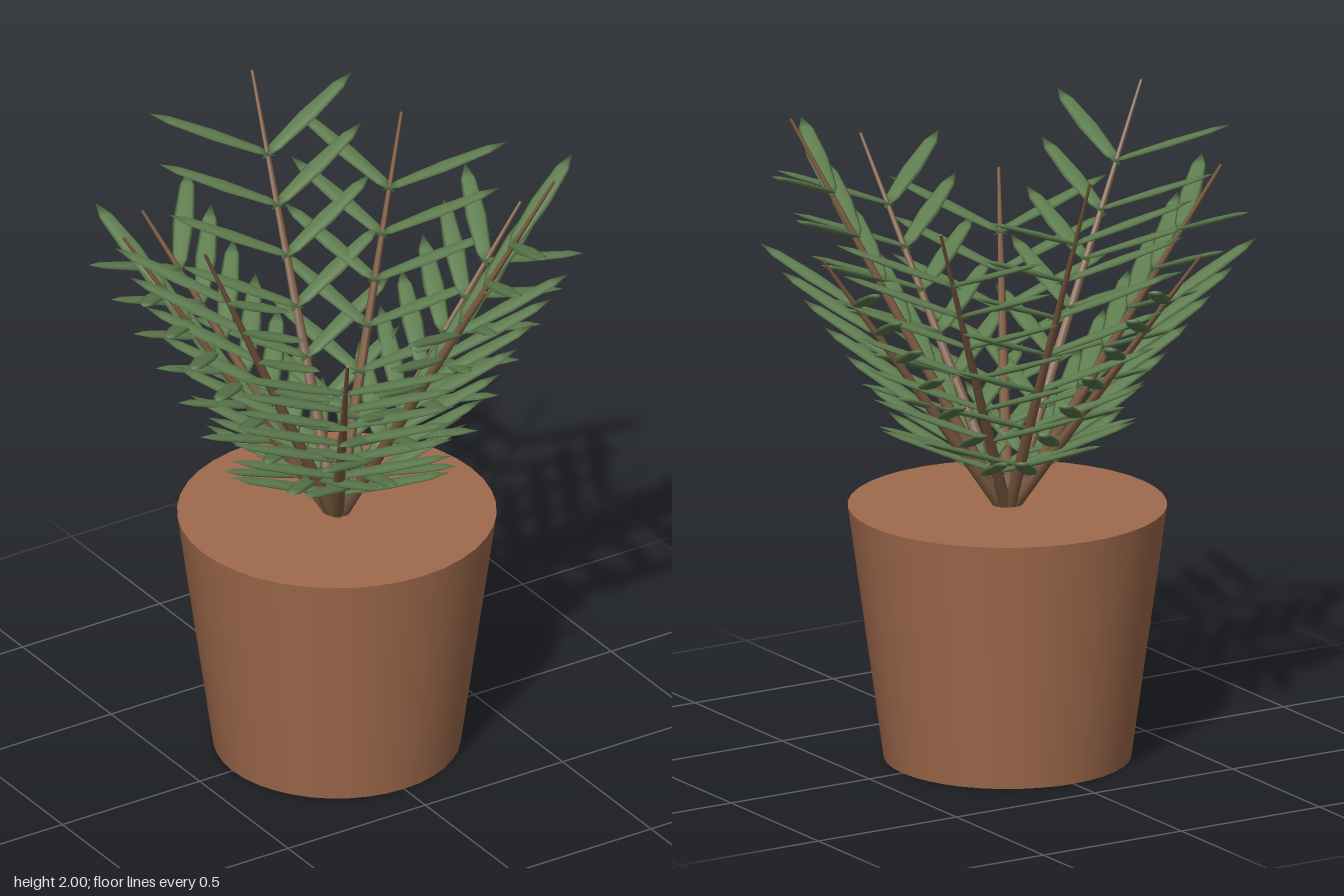
import * as THREE from 'three';

const POT_HEIGHT = 0.8;
const FRONDS = 9;
const PAIRS = 7;
const REACH = 0.67;               // horizontal reach of every stem
const RISES = [0.88, 1.2, 1.04];  // stem heights repeat in threes

function material(name, color) {
  const m = new THREE.MeshStandardMaterial({ color });
  m.name = name;
  return m;
}

export function createModel() {
  const clay = material('clay', 0xa06a4c);
  const bark = material('stem brown', 0x7d5c42);
  const green = material('leaf green', 0x5f7d50);

  const model = new THREE.Group();
  model.name = 'pottedPalm';

  // Solid tapered pot
  const pot = new THREE.Mesh(new THREE.CylinderGeometry(0.49, 0.38, POT_HEIGHT, 40), clay);
  pot.name = 'pot';
  pot.position.y = POT_HEIGHT / 2;
  model.add(pot);

  // Flat, pointed leaflet lying along x; its base pokes just past the stem
  const leafGeometry = new THREE.SphereGeometry(1, 8, 4);
  leafGeometry.rotateZ(-Math.PI / 2);
  leafGeometry.scale(0.21, 0.01, 0.033);
  leafGeometry.translate(0.18, 0, 0);

  // Leaflet heading, in the frame of a frond that leans towards +x
  const pitch = Math.atan2(0.14, 0.363);
  const spread = Math.atan2(0.335, 0.14);

  for (let i = 0; i < FRONDS; i++) {
    const frond = new THREE.Group();
    frond.name = 'frond';
    frond.rotation.y = -i * Math.PI * 2 / FRONDS;

    const foot = new THREE.Vector3(0.015, POT_HEIGHT - 0.01, 0);
    const tip = new THREE.Vector3(REACH, POT_HEIGHT + RISES[i % 3], 0);
    const axis = tip.clone().sub(foot);

    // Straight tapering stem
    const stem = new THREE.Mesh(
      new THREE.CylinderGeometry(0.005, 0.022, axis.length(), 6), bark);
    stem.name = 'stem';
    stem.position.copy(foot).addScaledVector(axis, 0.5);
    stem.quaternion.setFromUnitVectors(new THREE.Vector3(0, 1, 0), axis.clone().normalize());
    frond.add(stem);

    // Leaflets in mirrored pairs
    for (let p = 0; p < PAIRS; p++) {
      const t = 0.12 + 0.115 * p;
      for (const side of [-1, 1]) {
        const leaf = new THREE.Mesh(leafGeometry, green);
        leaf.name = 'leaflet';
        leaf.position.set(REACH * t, POT_HEIGHT + RISES[i % 3] * t, 0);
        leaf.rotation.set(0, side * spread, pitch, 'YZX');
        frond.add(leaf);
      }
    }
    model.add(frond);
  }
  return model;
}
